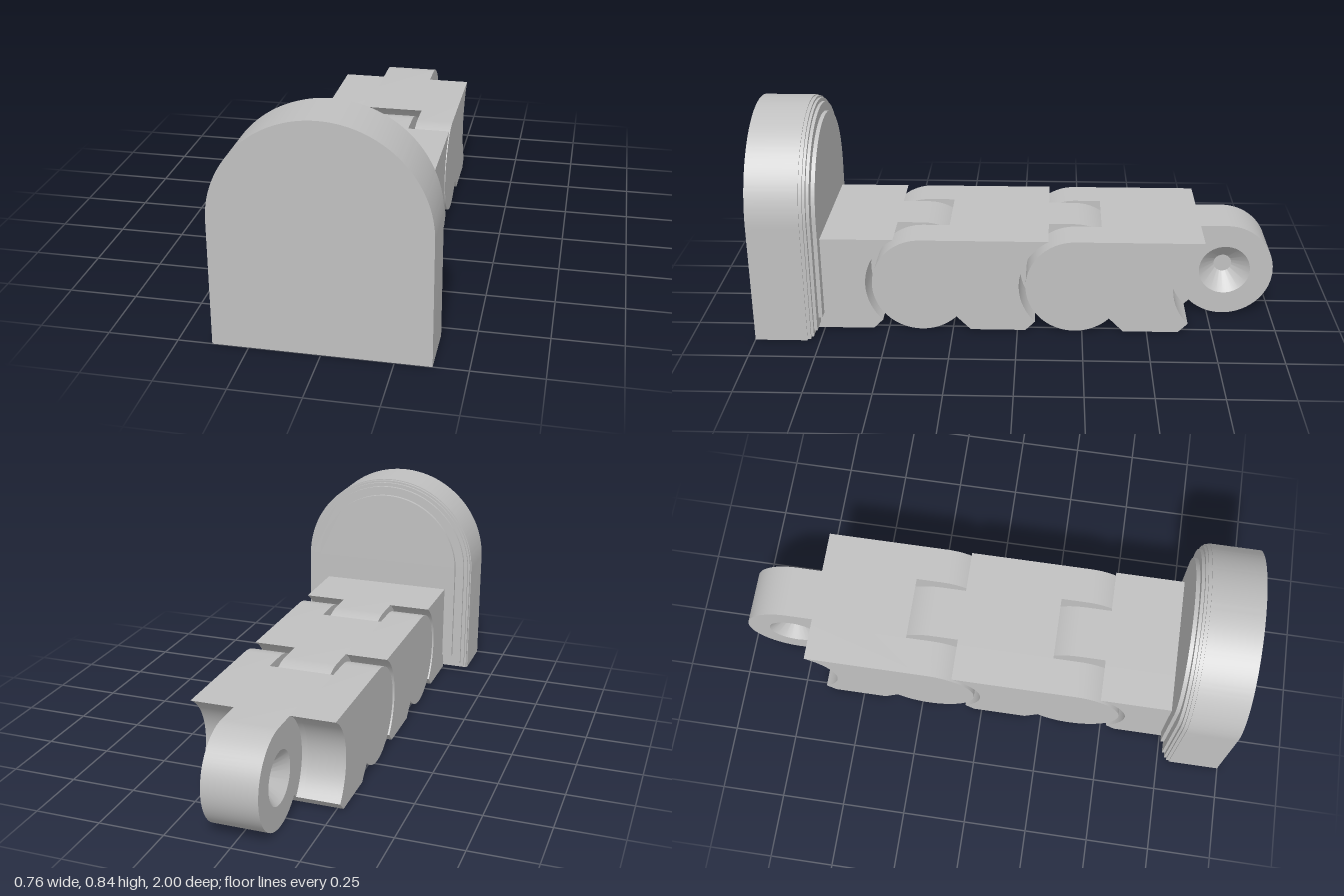
import * as THREE from 'three';
import { toCreasedNormals } from 'three/addons/utils/BufferGeometryUtils.js';

const H = 0.378;            // height of the links
const R = H / 2;            // knuckle radius
const CLEAR = 0.215;        // socket radius around a knuckle
const PITCH = 0.59;         // distance between hinges
const TONGUE = 0.105, SLOT = 0.127, WIDE = 0.272; // half widths across x
const DIMPLE = 0.1;

const grey = new THREE.MeshStandardMaterial({ color: 0xc0c0c0 });
grey.name = 'plainGrey';

function mesh(name, geometry, crease = 0.5) {
  const m = new THREE.Mesh(toCreasedNormals(geometry, crease), grey);
  m.name = name;
  return m;
}

// Outline of one end of a link, bottom to top; dir is the side the body lies on
function endOutline(c, dir, kind) {
  const round = kind === 'round';
  const r = round ? R : CLEAR;
  const a0 = -Math.PI / 4;
  const a1 = round ? -1.5 * Math.PI : Math.asin(R / CLEAR);
  const n = round ? 48 : 24;
  const pts = [new THREE.Vector2(c + dir * R, 0)];
  for (let i = 0; i <= n; i++) {
    const a = a0 + (a1 - a0) * i / n;
    pts.push(new THREE.Vector2(c + dir * r * Math.cos(a), R + r * Math.sin(a)));
  }
  return pts;
}

const flatEnd = z => [new THREE.Vector2(z, 0), new THREE.Vector2(z, H)];

// Side profile (z, y) extruded across x from x0 to x1
function slab(name, rear, front, x0, x1, holeZ) {
  const shape = new THREE.Shape([...rear, ...front.slice().reverse()]);
  if (holeZ !== undefined) {
    const hole = new THREE.Path();
    hole.absarc(holeZ, R, DIMPLE, 0, Math.PI * 2, true);
    shape.holes.push(hole);
  }
  const g = new THREE.ExtrudeGeometry(shape, { depth: x1 - x0, bevelEnabled: false, curveSegments: 24 });
  g.rotateY(-Math.PI / 2);
  g.translate(x1, 0, 0);
  return mesh(name, g);
}

// Conical dimples on both faces of a tongue
function dimple(z) {
  const pts = [[0, -0.04], [0.035, -0.04], [DIMPLE, -TONGUE], [DIMPLE, TONGUE], [0.035, 0.04], [0, 0.04]]
    .map(p => new THREE.Vector2(...p));
  const g = new THREE.LatheGeometry(pts, 48);
  g.rotateZ(Math.PI / 2);
  g.translate(0, R, z);
  return mesh('tongueDimple', g);
}

// Link with its front at hinge c (or a flat front) and its tongue at hinge n
function link(name, n, c, flatZ) {
  const group = new THREE.Group();
  group.name = name;
  const front = kind => (flatZ !== undefined ? flatEnd(flatZ) : endOutline(c, -1, kind));
  const socket = endOutline(n, 1, 'socket');
  group.add(slab('tongue', endOutline(n, 1, 'round'), front('socket'), -TONGUE, TONGUE, n), dimple(n));
  for (const s of [-1, 1]) {
    const span = (a, b) => (s > 0 ? [a, b] : [-b, -a]);
    group.add(slab('webStrip', socket, front('socket'), ...span(TONGUE, SLOT)));
    group.add(slab('cheek', socket, front('round'), ...span(SLOT, WIDE)));
    if (flatZ === undefined) {
      // Cone pin reaching into the dimple of the link ahead
      const g = new THREE.CylinderGeometry(0.028, 0.09, 0.062, 40);
      g.rotateZ(s * Math.PI / 2);
      g.translate(s * 0.096, R, c);
      group.add(mesh('hingePin', g));
    }
  }
  return group;
}

// Arched plate, inset evenly from the full outline
function arch(inset, bottom) {
  const w = 0.378 - inset, cy = 0.466;
  const s = new THREE.Shape();
  s.moveTo(-w, bottom);
  s.lineTo(w, bottom);
  s.lineTo(w, cy);
  s.absarc(0, cy, w, 0, Math.PI, false);
  s.closePath();
  return s;
}

function createHead() {
  const head = new THREE.Group();
  head.name = 'archedHead';
  // name, inset, bottom, back z, front z
  const layers = [
    ['headPlate', 0, 0, 0.8, 1],
    ['roundedRimOuter', 0.004, 0.003, 0.787, 0.81],
    ['roundedRimInner', 0.012, 0.01, 0.777, 0.8],
    ['backStep', 0.027, 0.028, 0.765, 0.79],
    ['backPanel', 0.063, 0.065, 0.75, 0.78],
  ];
  for (const [name, inset, bottom, z0, z1] of layers) {
    const g = new THREE.ExtrudeGeometry(arch(inset, bottom), { depth: z1 - z0, bevelEnabled: false, curveSegments: 64 });
    g.translate(0, 0, z0);
    head.add(mesh(name, g));
  }
  return head;
}

export function createModel() {
  const model = new THREE.Group();
  model.name = 'hingedChain';
  const h = [0.37, 0.37 - PITCH, 0.37 - 2 * PITCH];
  model.add(
    createHead(),
    link('baseLink', h[0], undefined, 0.775),
    link('middleLink', h[1], h[0]),
    link('endLink', h[2], h[1]),
  );
  return model;
}
